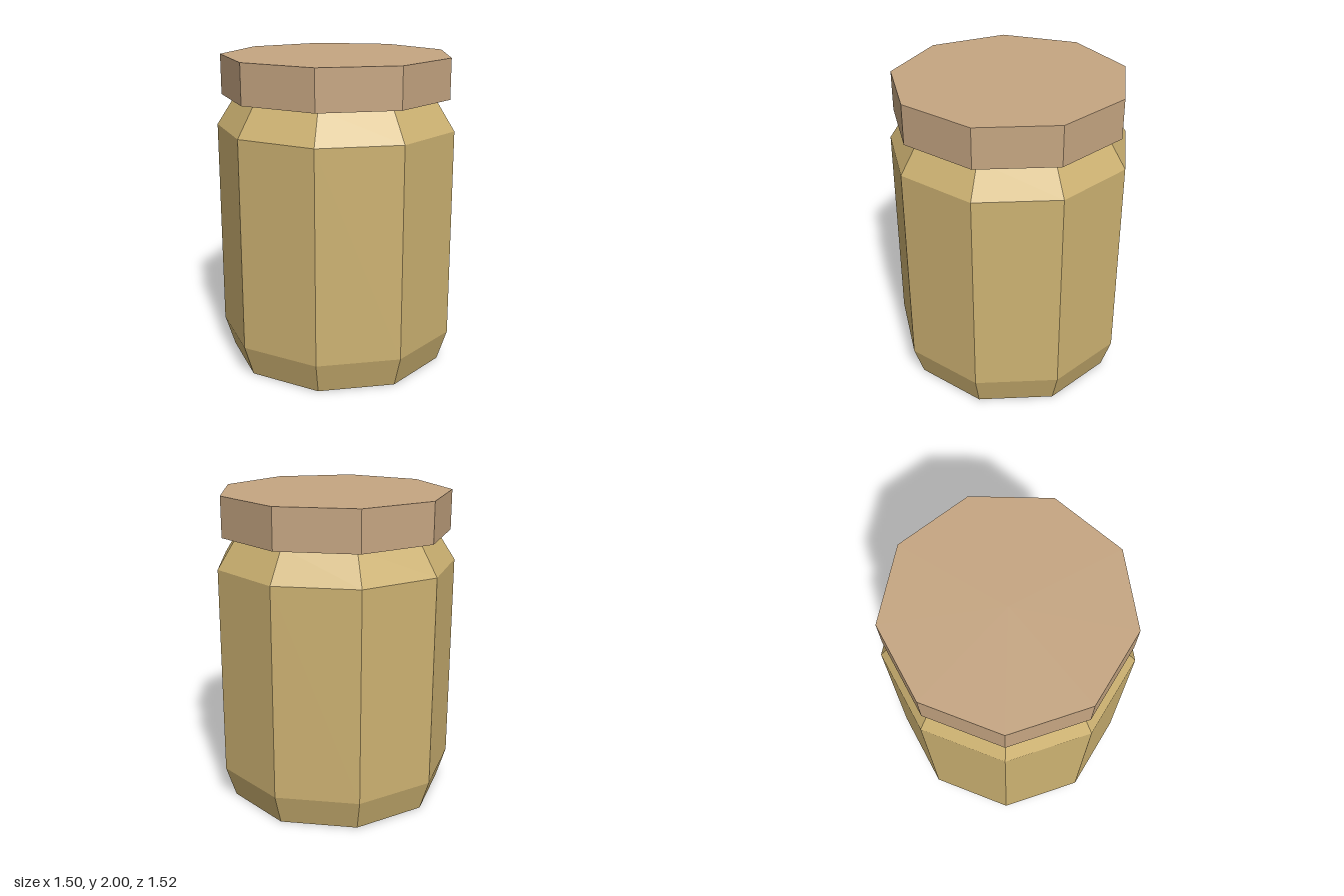
import * as THREE from 'three';

const SIDES = 9;

// Nine-sided turned solid from a bottom-to-top profile, with one corner on +x
function turned(name, profile, material) {
  const points = profile.map(([r, y]) => new THREE.Vector2(r, y));
  const mesh = new THREE.Mesh(new THREE.LatheGeometry(points, SIDES, Math.PI / 2), material);
  mesh.name = name;
  mesh.position.x = -0.023; // centres the odd-sided outline
  return mesh;
}

export function createModel() {
  const honey = new THREE.MeshStandardMaterial({ color: 0xcdb272, flatShading: true });
  honey.name = 'honey tan';
  const brown = new THREE.MeshStandardMaterial({ color: 0xc6a682, flatShading: true });
  brown.name = 'light brown';

  const group = new THREE.Group();
  group.name = 'jar';

  // Jar body: chamfered base, straight wall, sloping shoulder
  group.add(turned('jarBody', [
    [0, 0], [0.709, 0], [0.773, 0.2], [0.773, 1.55], [0.645, 1.75], [0, 1.75],
  ], honey));

  // Flat lid overhanging the shoulder
  group.add(turned('lid', [
    [0, 1.745], [0.74, 1.745], [0.74, 2], [0, 2],
  ], brown));

  return group;
}
